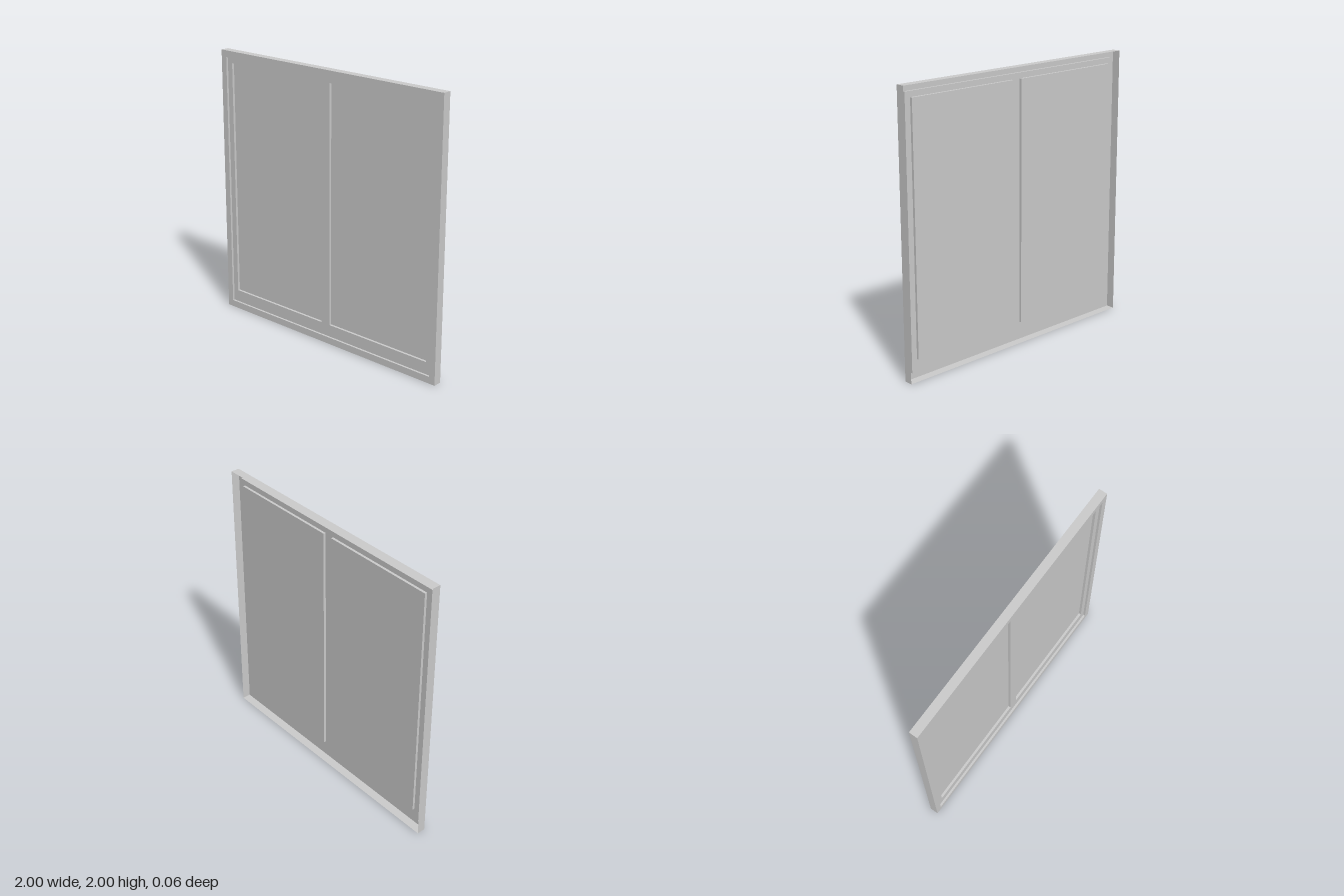
import * as THREE from 'three';
import { mergeGeometries } from 'three/addons/utils/BufferGeometryUtils.js';

// Depths of the stepped sheet, from the front to the open back
const Z_FRAME = 0.031, Z_SASH = 0.015, Z_PANE = -0.003, Z_BACK = -0.031;

// Rectangles as [left, bottom, right, top]
const OUTER = [-1, 0, 1, 2];
const OPENING = [-0.953, 0.05, 0.953, 1.95];
const PANES = [[-0.91, 0.14, -0.037, 1.91], [0.037, 0.14, 0.91, 1.91]];

const material = new THREE.MeshStandardMaterial({ color: 0xcccccc, side: THREE.DoubleSide });

function outline(Type, [l, b, r, t]) {
  return new Type([[l, b], [r, b], [r, t], [l, t]].map(([x, y]) => new THREE.Vector2(x, y)));
}

// Flat face at depth z with rectangular openings
function face(rect, holes, z) {
  const shape = outline(THREE.Shape, rect);
  shape.holes = holes.map((h) => outline(THREE.Path, h));
  return new THREE.ShapeGeometry(shape).translate(0, 0, z);
}

// Four walls around a rectangle, facing outwards
function walls([l, b, r, t], zFront, zBack) {
  const w = r - l, h = t - b, d = zFront - zBack;
  const cx = (l + r) / 2, cy = (b + t) / 2, cz = (zFront + zBack) / 2;
  const sides = [];
  for (const s of [-1, 1]) {
    sides.push(new THREE.PlaneGeometry(d, h).rotateY(s * Math.PI / 2).translate(cx + s * w / 2, cy, cz));
    sides.push(new THREE.PlaneGeometry(w, d).rotateX(-s * Math.PI / 2).translate(cx, cy + s * h / 2, cz));
  }
  return mergeGeometries(sides);
}

export function createModel() {
  const group = new THREE.Group();
  const add = (name, ...parts) => {
    const mesh = new THREE.Mesh(mergeGeometries(parts), material);
    mesh.name = name;
    group.add(mesh);
  };

  // Outer frame, hollow from behind
  add('outerFrame', face(OUTER, [OPENING], Z_FRAME), walls(OUTER, Z_FRAME, Z_BACK));

  // Recessed sash with its centre mullion
  add('sash', face(OPENING, PANES, Z_SASH), walls(OPENING, Z_FRAME, Z_SASH));

  // Two panes set deeper than the sash
  PANES.forEach((p, i) => {
    add(i ? 'leftPane' : 'rightPane', face(p, [], Z_PANE), walls(p, Z_SASH, Z_PANE));
  });

  return group;
}
